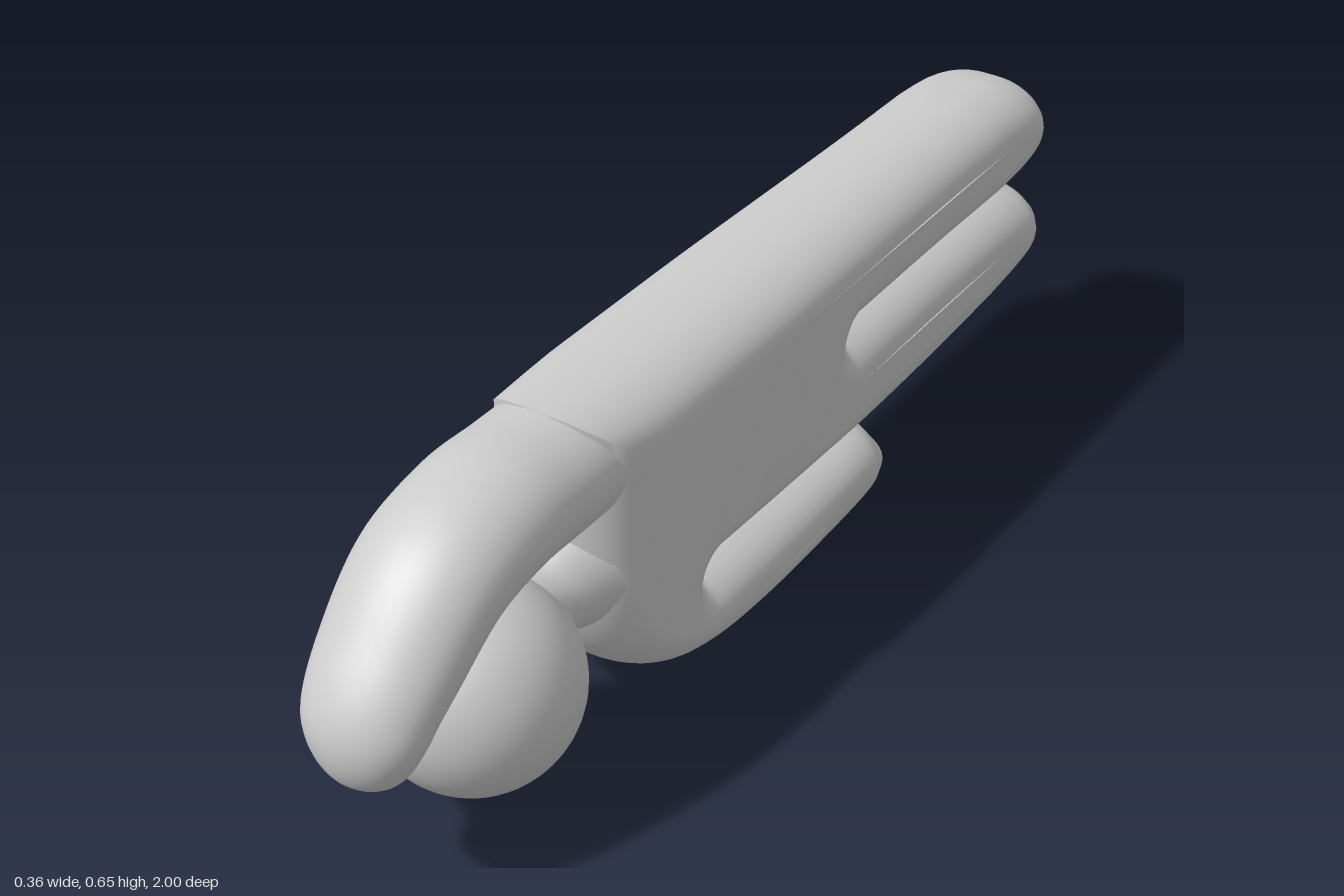
import * as THREE from 'three';
import { toCreasedNormals } from 'three/addons/utils/BufferGeometryUtils.js';
import { ParametricGeometry } from 'three/addons/geometries/ParametricGeometry.js';

const material = new THREE.MeshStandardMaterial({ color: 0xcccccc });
const vec = (list) => list.map(([x, y]) => new THREE.Vector2(x, y));

function addPart(group, name, geometry) {
  const mesh = new THREE.Mesh(geometry, material);
  mesh.name = name;
  group.add(mesh);
  return mesh;
}

// Straight run split into short steps, so the sides can be reshaped smoothly.
function run(shape, x, y, steps = 10) {
  const from = shape.currentPoint.clone();
  for (let i = 1; i <= steps; i++) {
    shape.lineTo(from.x + (x - from.x) * i / steps, from.y + (y - from.y) * i / steps);
  }
}

// Side outline (z, y) of the body's core; a wide bevel swells it into round limbs.
function bodyGeometry() {
  const s = new THREE.Shape();
  s.moveTo(0.39, 0.56);
  run(s, -0.82, 0.56, 20);
  s.splineThru(vec([[-0.9, 0.553], [-0.945, 0.5375], [-0.9, 0.522], [-0.82, 0.515]]));
  run(s, -0.3, 0.515);
  s.absarc(-0.3, 0.425, 0.09, Math.PI / 2, -Math.PI / 2, true);
  run(s, -0.82, 0.335);
  s.splineThru(vec([[-0.9, 0.33], [-0.945, 0.318], [-0.9, 0.305], [-0.8, 0.291]]));
  s.splineThru(vec([[-0.6, 0.277], [-0.35, 0.273], [-0.1, 0.28], [0.15, 0.285]]));
  s.absarc(0.15, 0.19, 0.095, Math.PI / 2, -Math.PI / 2, true);
  run(s, -0.25, 0.1);
  s.splineThru(vec([[-0.32, 0.104], [-0.355, 0.102], [-0.32, 0.096], [-0.25, 0.092]]));
  s.splineThru(vec([[0, 0.086], [0.15, 0.097], [0.26, 0.132], [0.34, 0.2], [0.38, 0.28], [0.388, 0.37], [0.39, 0.5]]));
  const half = 0.015;
  const geometry = new THREE.ExtrudeGeometry(s, {
    depth: half * 2, bevelThickness: 0.127, bevelSize: 0.085, bevelSegments: 12, curveSegments: 12, steps: 1,
  });
  geometry.translate(0, 0, -half).rotateY(-Math.PI / 2);

  // Slim the sides towards both ends and cut the leg ends flat.
  const p = geometry.attributes.position;
  for (let i = 0; i < p.count; i++) {
    const z = p.getZ(i);
    const slim = 1 - 0.08 * THREE.MathUtils.smoothstep(-z, 0, 0.7) - 0.08 * THREE.MathUtils.smoothstep(z, 0.25, 0.48);
    p.setXYZ(i, p.getX(i) * slim, Math.max(p.getY(i), 0), Math.max(z, -1));
  }
  return toCreasedNormals(geometry, 0.9);
}

// Tapering elliptical sweep that leaves the top of the body and droops over the ball.
function hookGeometry() {
  const path = new THREE.SplineCurve(vec([
    [0.35, 0.538], [0.5, 0.538], [0.62, 0.537], [0.745, 0.505], [0.85, 0.42], [0.92, 0.335], [0.93, 0.23]]));
  const size = new THREE.SplineCurve(vec([ // half thickness, half width
    [0.107, 0.128], [0.107, 0.128], [0.107, 0.13], [0.1, 0.13], [0.09, 0.123], [0.08, 0.11], [0.072, 0.095]]));
  return new ParametricGeometry((u, v, target) => {
    const c = path.getPoint(u);
    const d = path.getTangent(u);
    const r = size.getPoint(u);
    const k = Math.max(0, (u - 0.82) / 0.18);
    const cap = Math.sqrt(Math.max(0.0004, 1 - k * k));
    const a = v * Math.PI * 2;
    const h = r.x * cap * Math.cos(a);
    target.set(r.y * cap * Math.sin(a), c.y + d.x * h, c.x - d.y * h);
  }, 64, 40);
}

export function createModel() {
  const group = new THREE.Group();
  group.name = 'figure';

  addPart(group, 'bodyWithLimbs', bodyGeometry());
  addPart(group, 'droopingHook', hookGeometry());

  const ball = addPart(group, 'ball', new THREE.SphereGeometry(0.182, 48, 32));
  ball.position.set(0, 0.243, 0.665);
  ball.scale.set(1, 1.02, 1.01);

  // Flared neck between the body and the ball
  const profile = new THREE.SplineCurve(vec([[0.125, 0], [0.1, 0.05], [0.085, 0.09], [0.095, 0.14], [0.115, 0.18]]));
  const neck = addPart(group, 'neck', new THREE.LatheGeometry(profile.getPoints(16), 32).rotateX(Math.PI / 2));
  neck.position.set(0, 0.325, 0.42);
  neck.rotation.x = 0.2;

  return group;
}
